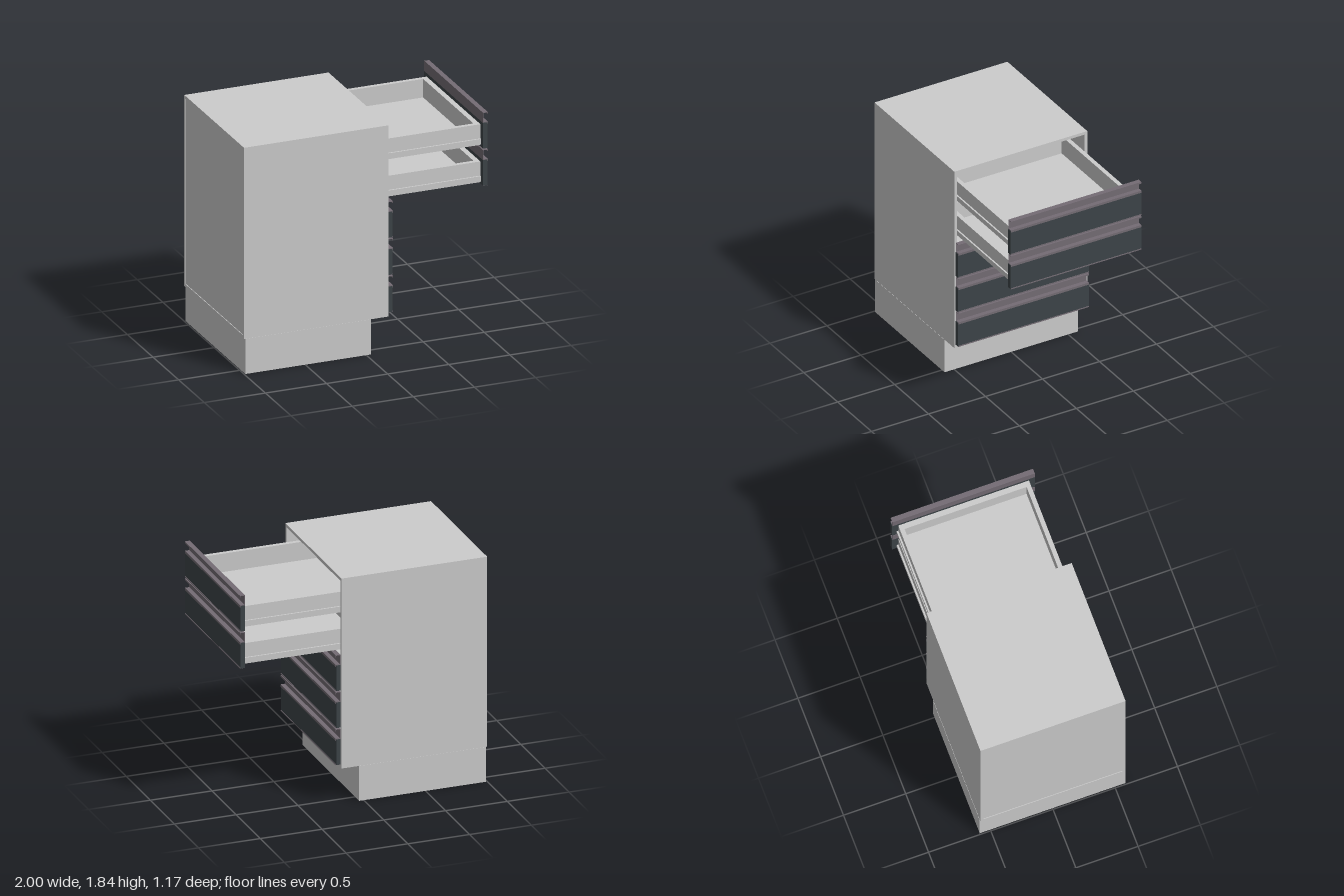
import * as THREE from 'three';

const grey = new THREE.MeshStandardMaterial({ color: 0xcccccc });
const darkPanel = new THREE.MeshStandardMaterial({ color: 0x3d4448 });
const metal = new THREE.MeshStandardMaterial({ color: 0x746c74 });

// Box given by its extents along each axis
function box(parent, name, [x0, x1], [y0, y1], [z0, z1], material = grey) {
  const mesh = new THREE.Mesh(new THREE.BoxGeometry(x1 - x0, y1 - y0, z1 - z0), material);
  mesh.position.set((x0 + x1) / 2, (y0 + y1) / 2, (z0 + z1) / 2);
  mesh.name = name;
  parent.add(mesh);
  return mesh;
}

function buildCarcass() {
  const g = new THREE.Group();
  g.name = 'carcass';
  const t = 0.024, W = 0.583;
  for (const s of [-1, 1]) {
    const z = [s * W, s * (W - t)].sort((a, b) => a - b);
    box(g, 'sidePanel', [-1, 0.18], [0.285, 1.838], z);
  }
  box(g, 'topPanel', [-1, 0.18], [1.814, 1.838], [-W + t, W - t]);
  box(g, 'bottomPanel', [-1, 0.18], [0.285, 0.309], [-W + t, W - t]);
  box(g, 'backPanel', [-0.995, -0.975], [0.309, 1.814], [-W + t, W - t]);
  return g;
}

// Hollow base, open underneath
function buildPlinth() {
  const outline = new THREE.Shape();
  outline.moveTo(-0.99, -0.585).lineTo(0.038, -0.585).lineTo(0.038, 0.585).lineTo(-0.99, 0.585);
  const hole = new THREE.Path();
  hole.moveTo(-0.96, -0.555).lineTo(-0.96, 0.555).lineTo(0.008, 0.555).lineTo(0.008, -0.555);
  outline.holes.push(hole);
  const geo = new THREE.ExtrudeGeometry(outline, { depth: 0.285, bevelEnabled: false });
  geo.rotateX(-Math.PI / 2);
  const plinth = new THREE.Mesh(geo, grey);
  plinth.name = 'plinth';
  return plinth;
}

// Hooked grip rail, drawn in section and extruded across the front
function gripRail() {
  const section = [
    [0, 0], [0.036, 0], [0.036, -0.012], [0.04, -0.012], [0.04, 0.006], [0.004, 0.006],
    [0.004, 0.079], [0.036, 0.079], [0.036, 0.068], [0.04, 0.068], [0.04, 0.083], [0, 0.083],
  ].map(([x, y]) => new THREE.Vector2(x, y));
  const geo = new THREE.ExtrudeGeometry(new THREE.Shape(section), { depth: 1.144, bevelEnabled: false });
  geo.translate(0, 0, -0.572);
  const rail = new THREE.Mesh(geo, metal);
  rail.name = 'gripRail';
  return rail;
}

// Drawer origin: lower back edge of its front panel
function buildDrawer() {
  const g = new THREE.Group();
  g.name = 'drawer';
  box(g, 'frontPanel', [0, 0.036], [0, 0.208], [-0.575, 0.575], darkPanel);
  box(g, 'frontBottomTrim', [0.002, 0.039], [-0.002, 0.006], [-0.572, 0.572], metal);
  const rail = gripRail();
  rail.position.y = 0.208;
  g.add(rail);

  // Tray with thick walls and a runner along each side
  const back = -1.03, low = 0.012, high = 0.18;
  box(g, 'drawerFloor', [back, 0], [low, 0.03], [-0.525, 0.525]);
  for (const s of [-1, 1]) {
    const span = (a, b) => [s * a, s * b].sort((p, q) => p - q);
    box(g, 'drawerSide', [back, 0], [low, high], span(0.49, 0.525));
    box(g, 'runner', [back, 0], [low + 0.012, 0.065], span(0.525, 0.538));
  }
  box(g, 'drawerInnerFront', [-0.043, 0], [0.03, high], [-0.49, 0.49]);
  box(g, 'drawerBack', [back, back + 0.03], [0.03, high], [-0.49, 0.49]);
  return g;
}

export function createModel() {
  const model = new THREE.Group();
  model.name = 'drawerCabinet';
  model.add(buildCarcass(), buildPlinth());

  // Three closed drawers, two pulled out at the top
  for (let i = 0; i < 5; i++) {
    const drawer = buildDrawer();
    drawer.position.set(i < 3 ? 0.183 : 0.958, 0.316 + i * 0.3025, 0);
    model.add(drawer);
  }
  return model;
}
